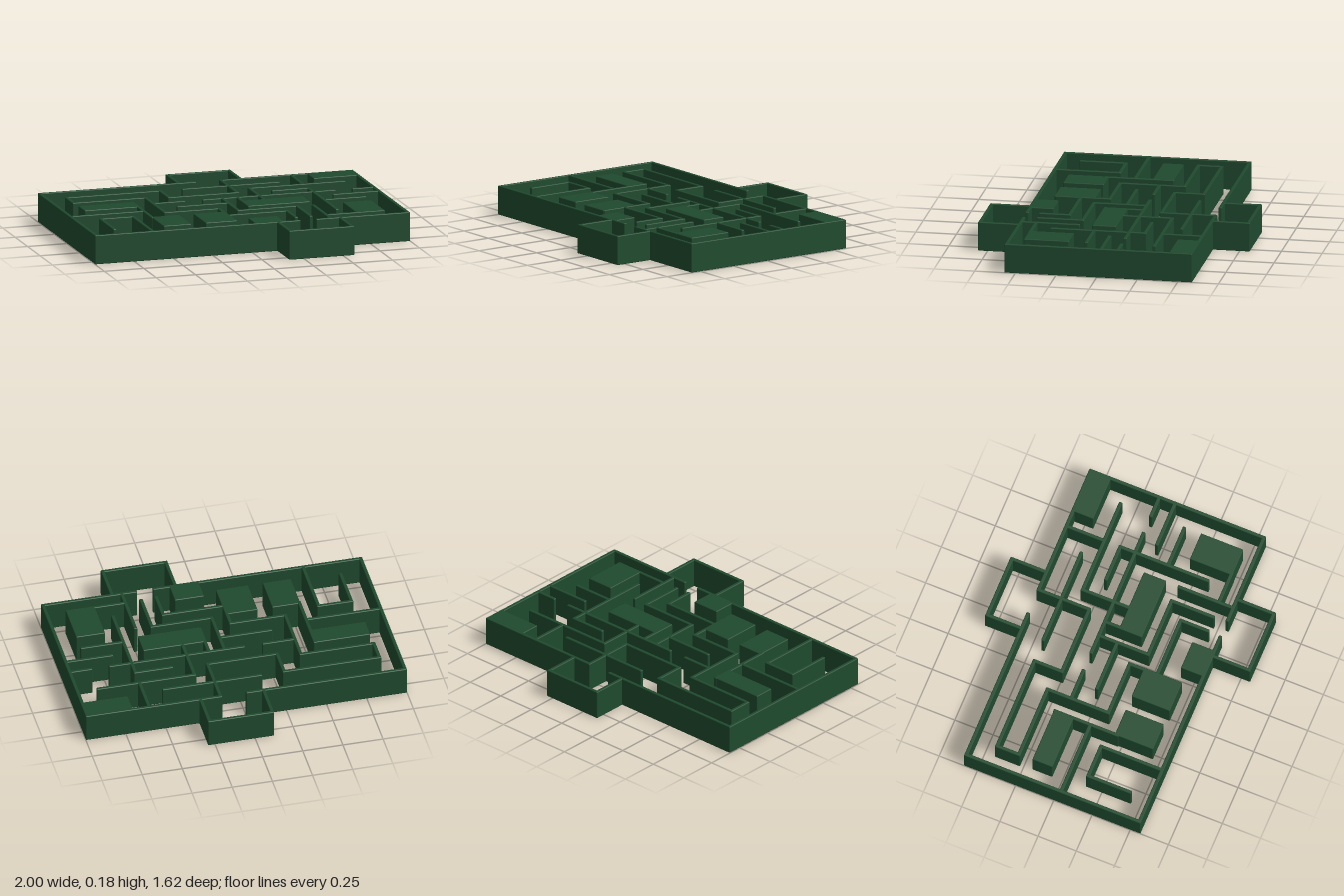
import * as THREE from 'three';
import { RoundedBoxGeometry } from 'three/addons/geometries/RoundedBoxGeometry.js';

const HEIGHT = 0.18, THICK = 0.022, BEVEL = 0.005;

// Each wall run is a polyline of [x, z] centreline points.
const runs = {
  outerWall: [
    [[-0.01, -0.577], [-0.989, -0.577], [-0.989, 0.556], [0.295, 0.556]],
    [[0.16, -0.577], [0.989, -0.577], [0.989, 0.556], [0.415, 0.556]],
  ],
  backPorch: [[[-0.108, -0.577], [-0.108, -0.802], [0.283, -0.802], [0.283, -0.577]]],
  frontPorch: [[[0.166, 0.556], [0.166, 0.798], [0.559, 0.798], [0.559, 0.556]]],
  innerWall: [
    // long winding wall from the back opening
    [[0.16, -0.577], [0.16, -0.246], [-0.273, -0.246], [-0.273, -0.426], [-0.866, -0.426],
      [-0.866, -0.283], [-0.412, -0.283], [-0.412, 0.115], [-0.072, 0.115], [-0.072, 0.44]],
    [[-0.125, -0.428], [0.475, -0.428]],
    // back right
    [[0.604, -0.577], [0.604, -0.33]],
    [[0.86, -0.33], [0.262, -0.33], [0.262, -0.025]],
    [[0.38, -0.225], [0.604, -0.225], [0.604, 0.345]],
    [[0.604, 0.088], [0.86, 0.088]],
    [[0.705, -0.025], [0.989, -0.025]],
    // broken wall across the middle
    [[-0.412, -0.128], [-0.22, -0.128]],
    [[-0.09, -0.128], [0.735, -0.128]],
    [[0.86, -0.128], [0.989, -0.128]],
    // centre
    [[-0.29, -0.008], [0.027, -0.008]],
    [[0.027, -0.128], [0.027, 0.195], [0.4, 0.195], [0.4, 0.465]],
    [[0.123, -0.128], [0.123, -0.02]],
    [[-0.072, 0.294], [0.305, 0.294], [0.305, 0.47]],
    // front right
    [[0.5, 0.205], [0.5, 0.556]],
    [[0.5, 0.463], [0.71, 0.463]],
    // left
    [[-0.989, 0.043], [-0.524, 0.043]],
    [[-0.524, -0.187], [-0.524, 0.22]],
    [[-0.834, 0.43], [-0.834, 0.157], [-0.629, 0.157], [-0.629, 0.556]],
  ],
};

// Solid blocks: [x0, z0, x1, z1]
const blocks = [
  [-0.866, -0.195, -0.517, -0.065], [0.112, -0.03, 0.507, 0.118],
  [-0.529, 0.205, -0.353, 0.455], [-0.262, 0.205, -0.064, 0.455],
  [0.021, 0.412, 0.203, 0.562], [0.69, 0.195, 0.87, 0.472],
  [0.706, -0.583, 0.995, -0.444],
];

export function createModel() {
  const model = new THREE.Group();
  model.name = 'hedgeMaze';
  const material = new THREE.MeshStandardMaterial({ color: 0x1f4a2e });

  // Bevelled full-height box over a rectangle on the ground
  const addBox = (parent, name, x0, z0, x1, z1) => {
    const mesh = new THREE.Mesh(
      new RoundedBoxGeometry(x1 - x0, HEIGHT, z1 - z0, 1, BEVEL), material);
    mesh.name = name;
    mesh.position.set((x0 + x1) / 2, HEIGHT / 2, (z0 + z1) / 2);
    parent.add(mesh);
  };

  const h = THICK / 2;
  for (const [name, lines] of Object.entries(runs)) {
    const group = new THREE.Group();
    group.name = name;
    for (const line of lines) {
      for (let i = 1; i < line.length; i++) {
        const [ax, az] = line[i - 1], [bx, bz] = line[i];
        addBox(group, name + 'Section', Math.min(ax, bx) - h, Math.min(az, bz) - h,
          Math.max(ax, bx) + h, Math.max(az, bz) + h);
      }
    }
    model.add(group);
  }

  const blockGroup = new THREE.Group();
  blockGroup.name = 'hedgeBlocks';
  for (const b of blocks) addBox(blockGroup, 'hedgeBlock', ...b);
  model.add(blockGroup);
  return model;
}
